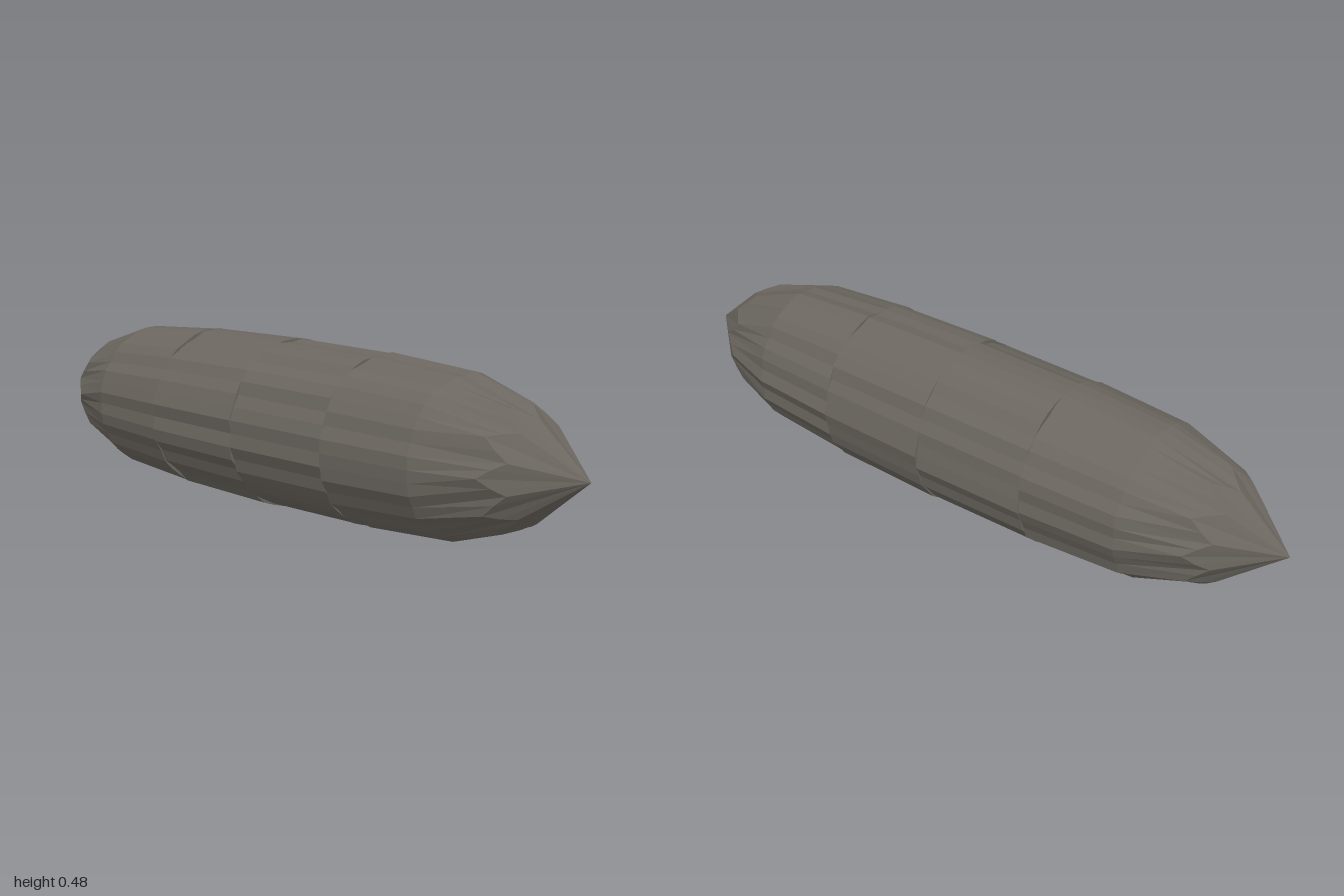
import * as THREE from 'three';

const COLS = 40;   // facets around the body
const RADIUS = 0.24;

function seeded(seed) {
  let s = seed;
  return () => (s = (s * 16807) % 2147483647) / 2147483647;
}

// One set of ridges and grooves: a radius factor for every column
function ridges(seed) {
  const rand = seeded(seed);
  for (let i = 0; i < 5; i++) rand();
  return Array.from({ length: COLS }, () => 1 - 0.055 * Math.pow(rand(), 1.3));
}

// Ring at a fixed z, grooved by the given ridge set
function ring(z, radius, ridge) {
  return ridge.map((k) => [radius * k, z]);
}

// Star-shaped ring near a tip: ten long facets folded between ten short ones
function starRing(side) {
  return Array.from({ length: COLS }, (_, i) => {
    const u = Math.abs((i % 4) - 2) / 2;
    return [0.128 + 0.036 * u, side * (0.85 - 0.06 * u)];
  });
}

function tipRing(side) {
  return Array.from({ length: COLS }, () => [0, side]);
}

function bodyGeometry() {
  const [backEnd, backMid, frontMid, frontEnd] = [1201, 77031, 450011, 9203].map(ridges);
  // Doubled rings at one z make the small steps between bands of ridges
  const rings = [
    tipRing(-1), starRing(-1),
    ring(-0.62, 0.217, backEnd), ring(-0.34, 0.235, backEnd),
    ring(-0.34, 0.235, backMid), ring(0, RADIUS, backMid),
    ring(0, RADIUS, frontMid), ring(0.34, 0.235, frontMid),
    ring(0.34, 0.235, frontEnd), ring(0.62, 0.217, frontEnd),
    starRing(1), tipRing(1),
  ];
  const positions = [];
  const indices = [];
  for (const points of rings) {
    points.forEach(([r, z], i) => {
      const a = (i / COLS) * Math.PI * 2;
      positions.push(r * Math.cos(a), RADIUS + r * Math.sin(a), z);
    });
  }
  for (let j = 0; j < rings.length - 1; j++) {
    for (let i = 0; i < COLS; i++) {
      const n = (i + 1) % COLS;
      const a = j * COLS + i, b = j * COLS + n;
      const c = a + COLS, d = b + COLS;
      if (j > 0) indices.push(a, b, c);
      if (j < rings.length - 2) indices.push(b, d, c);
      if (j === 0) indices.push(a, d, c);
    }
  }
  // The front tip closes with the a, b, c triangles of the last band
  const geometry = new THREE.BufferGeometry();
  geometry.setAttribute('position', new THREE.Float32BufferAttribute(positions, 3));
  geometry.setIndex(indices);
  const flat = geometry.toNonIndexed();
  flat.computeVertexNormals();
  return flat;
}

export function createModel() {
  const group = new THREE.Group();
  group.name = 'ridgedSpindle';
  const material = new THREE.MeshStandardMaterial({ color: 0x6b665f, flatShading: true });
  const body = new THREE.Mesh(bodyGeometry(), material);
  body.name = 'body';
  group.add(body);
  return group;
}
